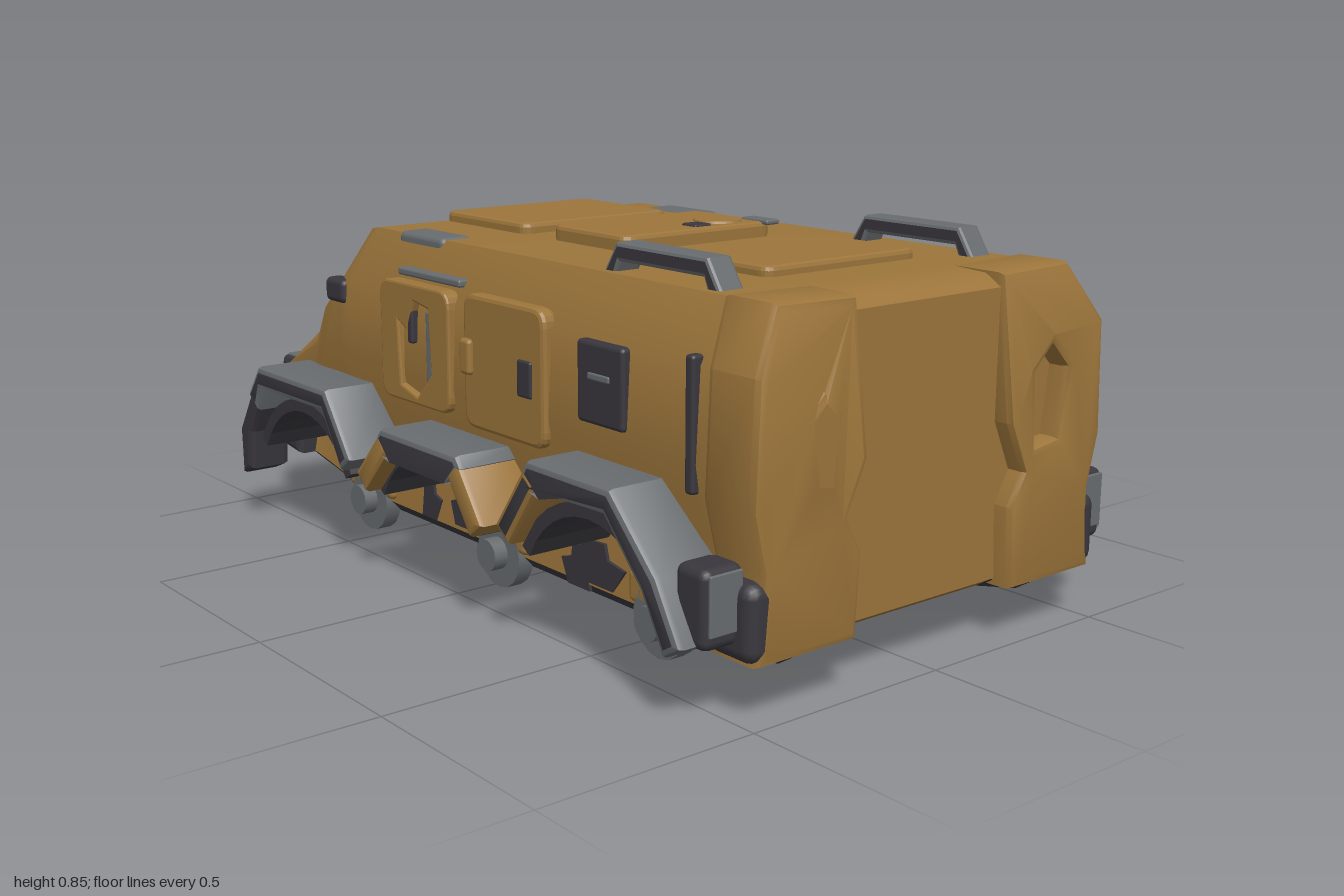
import * as THREE from 'three';
import { toCreasedNormals } from 'three/addons/utils/BufferGeometryUtils.js';
import { RoundedBoxGeometry } from 'three/addons/geometries/RoundedBoxGeometry.js';

const paint = (name, color) => {
  const m = new THREE.MeshStandardMaterial({ color });
  m.name = name;
  return m;
};

export function createModel() {
  const model = new THREE.Group();
  model.name = 'armouredCarrier';
  const tan = paint('desert tan', 0x9c753b);
  const dark = paint('charcoal', 0x39373d);
  const grey = paint('steel grey', 0x686c6f);
  const blue = paint('glass blue', 0x2884d6);

  const add = (name, geo, mat, x = 0, y = 0, z = 0) => {
    const m = new THREE.Mesh(geo, mat);
    m.name = name;
    m.position.set(x, y, z);
    model.add(m);
    return m;
  };
  const box = (w, h, d, r = 0.015) => new RoundedBoxGeometry(w, h, d, 2, Math.min(r, w / 2.1, h / 2.1, d / 2.1));
  const outline = pts => new THREE.Shape(pts.map(p => new THREE.Vector2(p[0], p[1])));
  // extrusion centred on z = 0
  const extrude = (shape, depth, bevel = 0.01) => {
    const g = new THREE.ExtrudeGeometry(shape, {
      depth: depth - 2 * bevel, bevelEnabled: bevel > 0, bevelSize: bevel, bevelThickness: bevel,
      bevelOffset: -bevel, bevelSegments: 2, curveSegments: 5 });
    return g.translate(0, 0, -depth / 2 + bevel);
  };
  const roundRect = (w, h, r) => {
    const s = new THREE.Shape(), a = w / 2, b = h / 2;
    s.moveTo(-a + r, -b).lineTo(a - r, -b).quadraticCurveTo(a, -b, a, -b + r);
    s.lineTo(a, b - r).quadraticCurveTo(a, b, a - r, b).lineTo(-a + r, b);
    s.quadraticCurveTo(-a, b, -a, b - r).lineTo(-a, -b + r).quadraticCurveTo(-a, -b, -a + r, -b);
    return s;
  };
  // strip of thickness t below a polyline
  const band = (pts, t) => {
    const inner = pts.map((p, i) => {
      const a = pts[Math.max(i - 1, 0)], b = pts[Math.min(i + 1, pts.length - 1)];
      const dx = b[0] - a[0], dy = b[1] - a[1], l = Math.hypot(dx, dy);
      return [p[0] + dy / l * t, p[1] - dx / l * t];
    });
    return outline([...pts, ...inner.reverse()]);
  };

  // hull: lofted sections of x, top, roof half width, shoulder y, half width, overhang y, bottom
  const sections = [
    [-0.95, 0.33, 0.36, 0.28, 0.42, 0.22, 0.14],
    [-0.91, 0.42, 0.37, 0.36, 0.46, 0.25, 0.12],
    [-0.80, 0.50, 0.37, 0.42, 0.47, 0.28, 0.10],
    [-0.67, 0.57, 0.37, 0.48, 0.475, 0.29, 0.075],
    [-0.61, 0.69, 0.38, 0.58, 0.48, 0.29, 0.065],
    [-0.52, 0.78, 0.39, 0.65, 0.485, 0.29, 0.06],
    [-0.46, 0.79, 0.41, 0.67, 0.49, 0.29, 0.06],
    [0.82, 0.79, 0.41, 0.67, 0.49, 0.29, 0.06],
    [0.91, 0.785, 0.41, 0.66, 0.48, 0.27, 0.075],
    [0.95, 0.76, 0.38, 0.65, 0.46, 0.25, 0.10]];
  const pos = [], tanFaces = [], darkFaces = [], N = 16;
  for (const [x, top, zt, sy, zs, oy, bot] of sections) {
    const half = [[zt, top], [zs, sy], [zs + 0.01, (sy + oy) / 2], [zs - 0.02, oy],
      [0.37, oy - 0.06], [0.385, bot + 0.03], [0.355, bot], [0.22, bot + 0.035]];
    for (const [z, y] of half) pos.push(x, y, z);
    for (const [z, y] of half.reverse()) pos.push(x, y, -z);
  }
  const last = (sections.length - 1) * N, mid = sections.length * N;
  pos.push(-0.95, 0.24, 0, 0.95, 0.42, 0);
  for (let j = 0; j < N; j++) {
    const k = (j + 1) % N;
    for (let o = 0; o < last; o += N) {
      const isDark = [5, 6, 8, 9].includes(j) || (j === 7 && o < 4 * N);
      (isDark ? darkFaces : tanFaces).push(o + j, o + k, o + N + j, o + k, o + N + k, o + N + j);
    }
    tanFaces.push(mid, k, j, mid + 1, last + j, last + k);
  }
  const hull = new THREE.BufferGeometry();
  hull.setAttribute('position', new THREE.Float32BufferAttribute(pos, 3));
  hull.setIndex([...tanFaces, ...darkFaces]);
  hull.addGroup(0, tanFaces.length, 0);
  hull.addGroup(tanFaces.length, darkFaces.length, 1);
  add('hull', toCreasedNormals(hull, 0.6), [tan, dark]);

  // windscreen
  const tilt = new THREE.Group();
  tilt.name = 'windscreen';
  tilt.position.set(-0.635, 0.635, 0);
  tilt.rotation.z = -0.42;
  model.add(tilt);
  tilt.add(add('windscreenFrame', box(0.07, 0.15, 0.63, 0.012), dark));
  tilt.add(add('windscreenGlass', new THREE.BoxGeometry(0.008, 0.075, 0.56), blue, -0.035, 0));
  for (const s of [1, -1]) tilt.add(add('windscreenCheek', box(0.075, 0.15, 0.06, 0.02), tan, 0, -0.005, s * 0.345));

  // front bumper
  add('bumperCentre', box(0.07, 0.17, 0.28), dark, -0.945, 0.25, 0);

  // roof hatches
  for (const [x, w, top] of [[-0.30, 0.34, 0.815], [0.115, 0.27, 0.825], [0.55, 0.31, 0.812]]) {
    const g = extrude(roundRect(w, 0.44, 0.03), 0.06, 0.01).rotateX(-Math.PI / 2);
    add('roofHatch', g, tan, x, top - 0.03, -0.01);
  }
  add('hatchTurnplate', new THREE.CylinderGeometry(0.055, 0.06, 0.01, 16), tan, 0.17, 0.825, -0.13);
  add('hatchLatch', box(0.09, 0.012, 0.04, 0.005), grey, 0.22, 0.824, -0.22);
  add('hatchHinge', box(0.05, 0.012, 0.05, 0.005), dark, 0.2, 0.824, -0.04);

  // fender pieces: path, face colour, edge colour
  const fenders = [
    [[[-0.77, 0.35], [-0.71, 0.43], [-0.37, 0.43], [-0.26, 0.28]], dark, grey],
    [[[-0.235, 0.26], [-0.125, 0.375]], tan, tan],
    [[[-0.14, 0.36], [-0.12, 0.385], [0.19, 0.385], [0.21, 0.36]], dark, grey],
    [[[0.195, 0.375], [0.285, 0.25]], tan, tan],
    [[[0.335, 0.27], [0.44, 0.415]], dark, tan],
    [[[0.43, 0.4], [0.45, 0.43], [0.72, 0.43], [0.86, 0.29], [0.93, 0.17]], dark, grey]];
  const rail = band([[0.395, 0.765], [0.45, 0.85], [0.73, 0.85], [0.785, 0.765]], 0.04);
  const bumperSide = outline([[-0.96, 0.15], [-1, 0.2], [-0.99, 0.3], [-0.95, 0.4], [-0.89, 0.4], [-0.87, 0.33], [-0.88, 0.14]]);
  const torn = [[-0.06, -0.1], [0.01, -0.12], [0.07, -0.06], [0.06, 0.09], [0, 0.1], [-0.03, 0.03], [-0.07, 0.05]];
  const patches = [[-0.29, 0.135, 0.5], [-0.16, 0.145, -0.45], [0.38, 0.14, 1], [0.3, 0.12, -0.6], [0.78, 0.13, 0.6]];

  for (const s of [1, -1]) {
    // fenders with front mudguard
    for (const [path, face, edge] of fenders) {
      add('fender', toCreasedNormals(extrude(band(path, 0.058), 0.165, 0.014), 0.5), [face, edge], 0, 0, s * 0.543);
    }
    const guard = outline([[-0.86, 0.12], [-0.865, 0.24], [-0.78, 0.37], [-0.73, 0.37], [-0.8, 0.24], [-0.81, 0.14]]);
    add('frontMudguard', extrude(guard, 0.11, 0.014), dark, 0, 0, s * 0.55);

    // wheel arches and hubs
    for (const x of [-0.56, 0.02, 0.60]) {
      const arc = [];
      for (let i = 0; i <= 12; i++) {
        const a = Math.PI * (0.86 - 0.06 * i);
        arc.push([x + 0.25 * Math.cos(a), 0.12 + 0.245 * Math.sin(a)]);
      }
      add('wheelArch', extrude(band(arc, 0.03), 0.22, 0), dark, 0, 0, s * 0.47);
      const disc = (r, l) => new THREE.CylinderGeometry(r, r, l, 16).rotateX(Math.PI / 2);
      add('hubDisc', disc(0.083, 0.04), grey, x, 0.084, s * 0.38);
      add('hubAxle', disc(0.038, 0.07), grey, x, 0.084, s * 0.4);
      add('axleMount', box(0.21, 0.075, 0.07), tan, x, 0.135, s * 0.365);
    }

    // camouflage patches on the sill
    for (const [x, y, f] of patches) {
      const patch = outline([[-0.08, -0.045], [-0.06, 0.02], [-0.07, 0.05], [0.02, 0.055], [0.03, 0.02], [0.09, 0.01], [0.05, -0.045]].map(([a, b]) => [a * f, b]));
      add('camouflagePatch', extrude(patch, 0.008, 0), dark, x, y, s * 0.382);
    }

    // bumper blocks
    add('bumperOuter', extrude(bumperSide, 0.16, 0.015), dark, 0.01, 0, s * 0.355);
    add('bumperOuterCap', box(0.055, 0.012, 0.13, 0.005), grey, -0.91, 0.4, s * 0.355);
    add('bumperInner', box(0.08, 0.22, 0.12, 0.02), dark, -0.95, 0.27, s * 0.19);
    add('bumperInnerCap', box(0.055, 0.012, 0.1, 0.005), grey, -0.95, 0.377, s * 0.19);

    // doors
    const tornDoor = roundRect(0.29, 0.28, 0.04);
    tornDoor.holes.push(new THREE.Path(torn.map(p => new THREE.Vector2(...p))));
    add('frontDoor', extrude(tornDoor, 0.04, 0.006), tan, -0.145, 0.56, s * 0.492);
    add('tornDoorEdge', box(0.025, 0.2, 0.03, 0.006), grey, -0.085, 0.545, s * 0.495);
    add('tornDoorShadow', box(0.02, 0.1, 0.03, 0.006), dark, -0.165, 0.61, s * 0.495);
    add('rearDoor', extrude(roundRect(0.3, 0.3, 0.04), 0.04, 0.01), tan, 0.21, 0.56, s * 0.492);
    add('doorHandle', box(0.04, 0.08, 0.03, 0.01), tan, 0.08, 0.57, s * 0.51);
    add('doorRail', box(0.26, 0.018, 0.05, 0.006), grey, -0.13, 0.715, s * 0.455);
    add('doorLatch', box(0.05, 0.08, 0.02, 0.006), dark, 0.295, 0.555, s * 0.508);

    // side fittings
    add('sidePanel', box(0.15, 0.17, 0.035, 0.01), dark, 0.545, 0.585, s * 0.493);
    add('sidePanelVent', box(0.07, 0.015, 0.01, 0.004), grey, 0.545, 0.6, s * 0.509);
    add('rearMarker', box(0.025, 0.27, 0.03, 0.008), dark, 0.815, 0.555, s * 0.493);
    add('cabVent', box(0.09, 0.06, 0.05, 0.015), dark, -0.53, 0.635, s * 0.475);
    add('roofLamp', box(0.19, 0.055, 0.085), grey, -0.25, 0.768, s * 0.38);
    add('roofRail', extrude(rail, 0.065, 0.008), [dark, grey], 0, 0, s * 0.36);

    // rear corner pillar with a sunken panel
    const side = ([z, y]) => new THREE.Vector2(-s * z, y);
    const pillar = new THREE.Shape([[0.23, 0.12], [0.49, 0.12], [0.475, 0.3], [0.505, 0.42], [0.495, 0.67], [0.42, 0.795], [0.21, 0.79], [0.21, 0.48], [0.26, 0.37], [0.22, 0.3]].map(side));
    pillar.holes.push(new THREE.Path([[0.29, 0.42], [0.36, 0.43], [0.38, 0.58], [0.33, 0.63], [0.28, 0.58]].map(side)));
    const g = extrude(pillar, 0.15, 0.018).rotateY(Math.PI / 2);
    const p = g.attributes.position;
    for (let i = 0; i < p.count; i++) if (p.getY(i) > 0.7) p.setX(i, p.getX(i) - 0.04);
    add('rearPillar', toCreasedNormals(g, 0.6), tan, 0.925, 0, 0);
    add('rearCorner', box(0.14, 0.16, 0.13, 0.03), dark, 0.928, 0.205, s * 0.445);
    add('rearMudguard', box(0.09, 0.16, 0.1, 0.02), dark, 0.91, 0.24, s * 0.535);
    add('rearMudguardPlate', box(0.008, 0.12, 0.08, 0.003), grey, 0.956, 0.25, s * 0.535);
  }
  return model;
}
